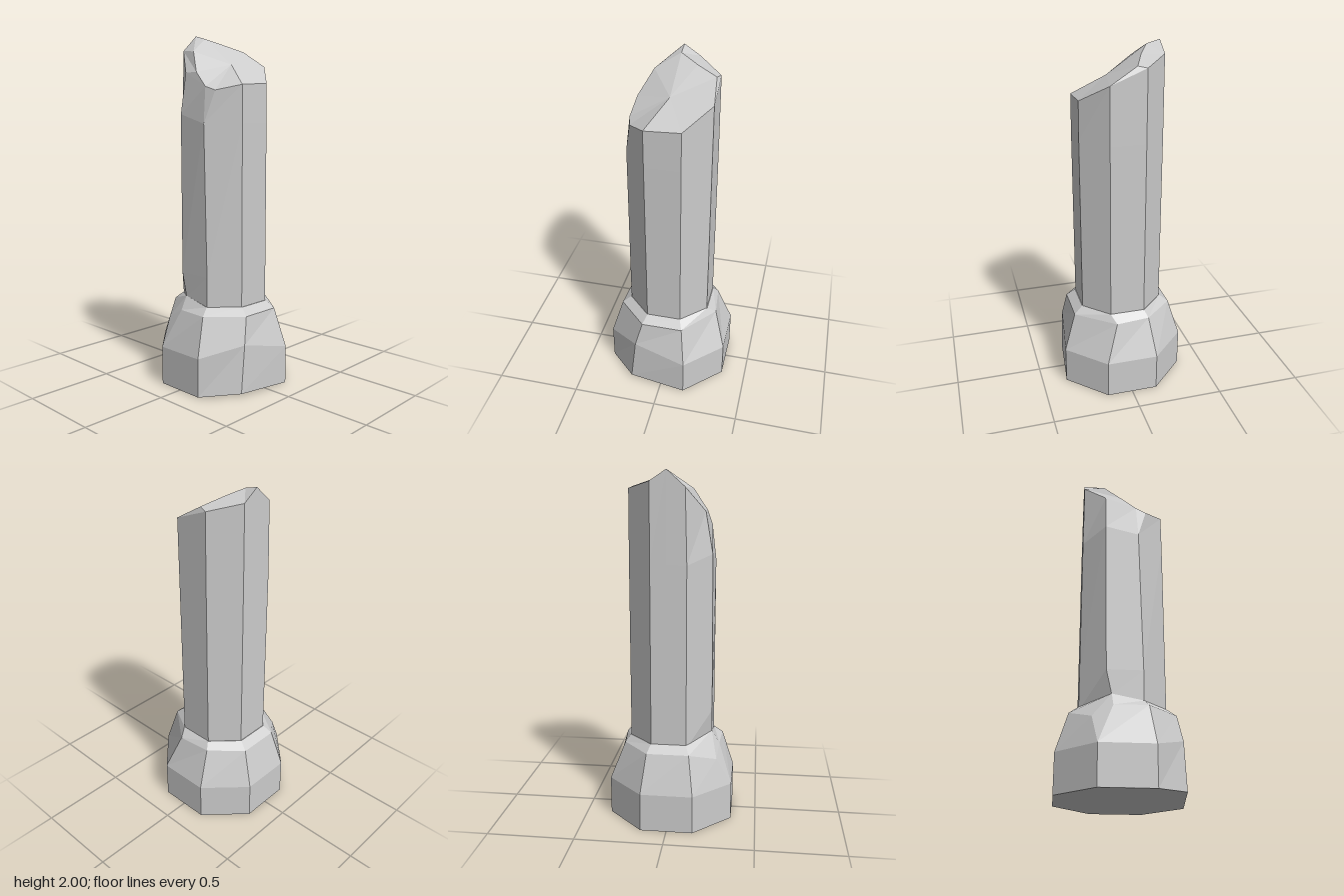
import * as THREE from 'three';

const material = new THREE.MeshStandardMaterial({ color: 0xcccccc, flatShading: true });

// Skins a stack of matching point loops and closes both ends with fans.
function loft(name, rings, bottom, top) {
  const pos = [];
  const tri = (a, b, c) => {
    const [A, B, C] = [a, b, c].map((p) => new THREE.Vector3(...p));
    if (new THREE.Triangle(A, B, C).getArea() > 1e-7) pos.push(...a, ...b, ...c);
  };
  const n = rings[0].length;
  const last = rings[rings.length - 1];
  for (let i = 0; i < n; i++) {
    const j = (i + 1) % n;
    for (let r = 0; r < rings.length - 1; r++) {
      tri(rings[r][i], rings[r][j], rings[r + 1][j]);
      tri(rings[r][i], rings[r + 1][j], rings[r + 1][i]);
    }
    tri(rings[0][j], rings[0][i], bottom);
    tri(last[i], last[j], top);
  }
  const geometry = new THREE.BufferGeometry();
  geometry.setAttribute('position', new THREE.Float32BufferAttribute(pos, 3));
  geometry.computeVertexNormals();
  const mesh = new THREE.Mesh(geometry, material);
  mesh.name = name;
  return mesh;
}

// Octagon corners, from the front of the left side round by the back.
// a is the half width across flats, b half the length of one side.
function octagon(a, b, y) {
  return [[a, b], [a, -b], [b, -a], [-b, -a], [-a, -b], [-a, b], [-b, a], [b, a]]
    .map(([x, z]) => [x, y, z]);
}

// Repeats one corner so that it can split into two further up.
const split = (ring, k) => [...ring.slice(0, k + 1), ring[k], ...ring.slice(k + 1)];

function createBase() {
  const foot = split(octagon(0.357, 0.148, 0), 6);
  const belly = split(octagon(0.357, 0.148, 0.22), 6);
  const shoulder = split(octagon(0.29, 0.12, 0.44), 6);
  const neck = split(octagon(0.24, 0.1, 0.48), 6);
  // Broken front left corner
  foot[0] = [0.32, 0.02, 0.19];
  belly[0] = [0.315, 0.29, 0.16];
  // Worn back corners
  shoulder[2] = [0.075, 0.44, -0.29];
  shoulder[3] = [-0.12, 0.44, -0.27];
  // Chip out of the front right shoulder
  shoulder[6] = [-0.175, 0.38, 0.27];
  shoulder[7] = [-0.065, 0.44, 0.28];
  neck[6] = neck[7] = [-0.07, 0.515, 0.235];
  return loft('base', [foot, belly, shoulder, neck], [0, 0, 0], [0, 0.48, 0]);
}

function createShaft() {
  // Ten columns: an extra one at the tip and a doubled front corner
  const columns = (y) => {
    const ring = split(octagon(0.237, 0.1, y), 7);
    ring.splice(5, 0, [-0.237, y, -0.01]);
    return ring;
  };
  const bottom = columns(0.46);
  const low = columns(0.65);
  const high = columns(1.5);
  bottom[7] = [-0.07, 0.51, 0.235];
  high[7] = [-0.11, 1.55, 0.23];
  high[8] = high[9] = [0.08, 1.5, 0.238];
  // Jagged outer rim
  const rim = [
    [0.235, 1.71, 0.1], [0.235, 1.72, -0.1], [0.1, 1.82, -0.237], [-0.1, 1.9, -0.235],
    [-0.235, 1.94, -0.1], [-0.235, 2, -0.01], [-0.235, 1.91, 0.09], [-0.11, 1.78, 0.19],
    [0.07, 1.7, 0.215], [0.13, 1.68, 0.2],
  ];
  // Edge of the sloping break
  const cut = rim.map((p) => [...p]);
  cut[3] = [-0.05, 1.91, -0.22];
  cut[4] = [-0.1, 1.945, -0.11];
  cut[5] = [-0.16, 1.98, -0.01];
  cut[6] = [-0.115, 1.9, 0.125];
  cut[7] = [-0.02, 1.78, 0.195];
  return loft('brokenShaft', [bottom, low, high, rim, cut], [0, 0.46, 0], [0.06, 1.825, 0]);
}

export function createModel() {
  const model = new THREE.Group();
  model.name = 'brokenColumn';
  model.add(createBase(), createShaft());
  return model;
}
